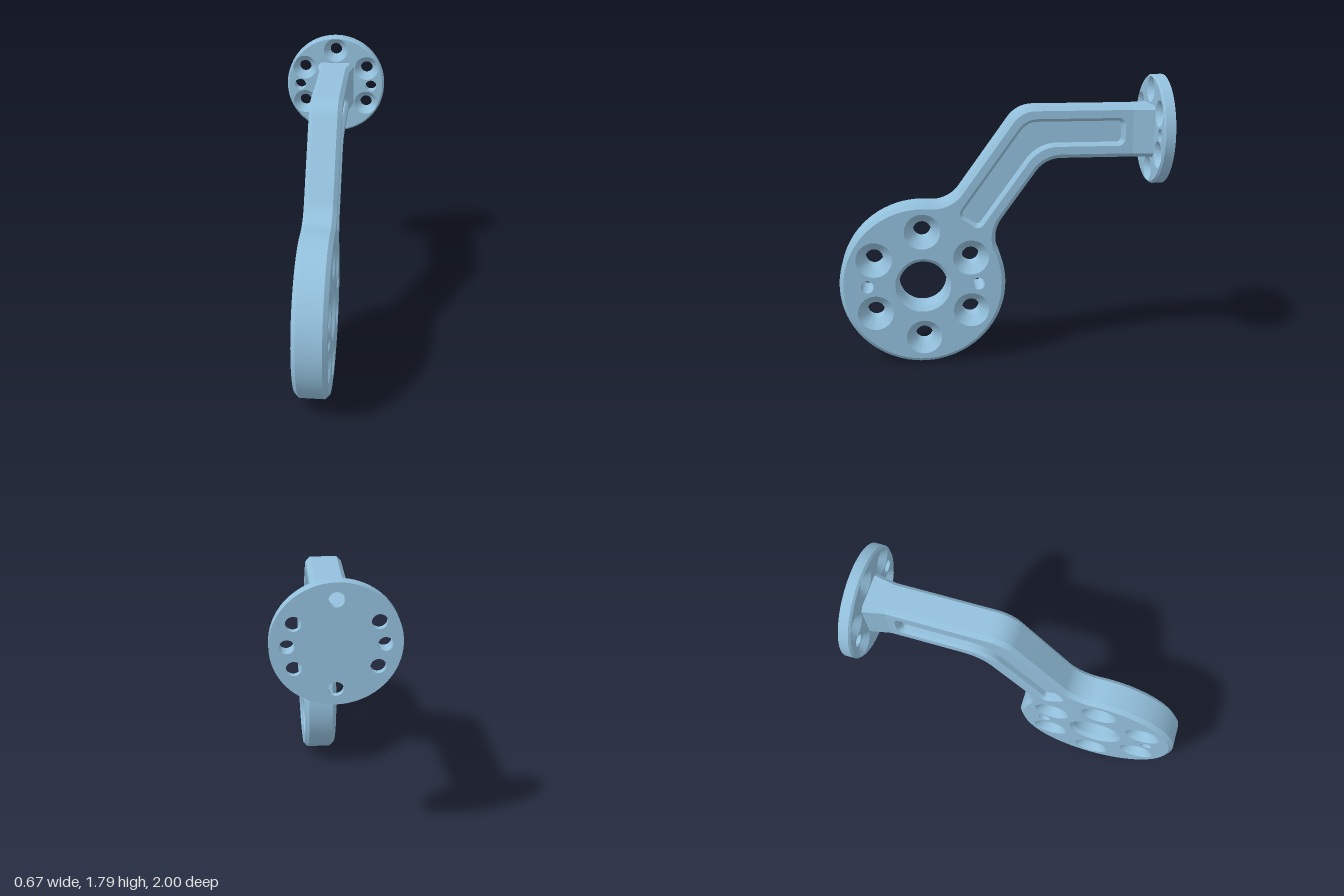
import * as THREE from 'three';
import { mergeGeometries, toCreasedNormals } from 'three/addons/utils/BufferGeometryUtils.js';

const material = new THREE.MeshStandardMaterial({ color: 0x93c0dc });
const V = (x, y) => new THREE.Vector2(x, y);

// Counter-clockwise circle
const circle = (cx, cy, r, n = 40) => Array.from({ length: n }, (_, i) => {
  const t = (i / n) * Math.PI * 2;
  return V(cx + r * Math.cos(t), cy + r * Math.sin(t));
});

// Points of a path without duplicates
function clean(path, divisions) {
  const pts = path.getPoints(divisions).filter((p, i, a) => i === 0 || p.distanceTo(a[i - 1]) > 1e-4);
  if (pts[0].distanceTo(pts[pts.length - 1]) < 1e-4) pts.pop();
  return pts;
}

// Moves a counter-clockwise loop inward by d
function inset(pts, d) {
  return pts.map((p, i) => {
    const a = pts[(i + pts.length - 1) % pts.length], b = pts[(i + 1) % pts.length];
    const e = p.clone().sub(a).normalize(), f = b.clone().sub(p).normalize();
    const n = V(-e.y - f.y, e.x + f.x);
    return p.clone().addScaledVector(n, d / (1 + e.dot(f)));
  });
}

// Skin through [loop, z] levels: rising z faces outward, falling z faces inward
function loft(levels) {
  const pos = [], index = [], n = levels[0][0].length;
  levels.forEach(([pts, z]) => pts.forEach(p => pos.push(p.x, p.y, z)));
  for (let k = 0; k < levels.length - 1; k++) for (let i = 0; i < n; i++) {
    const a = k * n + i, b = k * n + (i + 1) % n;
    index.push(a, b, b + n, a, b + n, a + n);
  }
  const g = new THREE.BufferGeometry();
  g.setAttribute('position', new THREE.Float32BufferAttribute(pos, 3));
  g.setIndex(index);
  return g;
}

// Flat face with holes at height z
function cap(pts, z, holes = [], back = false) {
  const s = new THREE.Shape(pts);
  s.holes = holes.map(h => new THREE.Path(h));
  const g = new THREE.ShapeGeometry(s).translate(0, 0, z);
  g.deleteAttribute('uv');
  g.deleteAttribute('normal');
  if (back) g.setIndex([...g.index.array].reverse());
  return g;
}

function part(name, geometries) {
  const g = toCreasedNormals(mergeGeometries(geometries), 0.5);
  const mesh = new THREE.Mesh(g, material);
  mesh.name = name;
  return mesh;
}

// Six bolt places and two pin places round a centre
const boltPlaces = (cx, cy, R) => [30, 90, 150, 210, 270, 330].map(d => {
  const t = THREE.MathUtils.degToRad(d);
  return [cx + R * Math.cos(t), cy + R * Math.sin(t)];
});
const pinPlaces = (cx, cy, R) => [[cx - R, cy], [cx + R, cy]];

// Arm layout, drawn in the side plane
const C = V(-0.485, 0.52), R = 0.515, ANG = THREE.MathUtils.degToRad(54.3);
const MID = 1.4625, HALF = 0.1575, Q = Math.PI / 2;
const dir = V(Math.cos(ANG), Math.sin(ANG)), nor = V(-dir.y, dir.x);
const bendX = C.x + (MID - C.y) / Math.tan(ANG), tanHalf = Math.tan(ANG / 2);
const along = (s, w) => C.clone().addScaledVector(dir, s).addScaledVector(nor, w);

// Rounded bend of the edge at signed distance w from the arm's centre line
function bend(path, w, r) {
  const cx = bendX - w * tanHalf + r * tanHalf, cy = MID + w - r;
  if (w > 0) path.absarc(cx, cy, r, Q, Q + ANG, false);
  else path.absarc(cx, cy, r, Q + ANG, Q, true);
}

function bracketOutline() {
  const f = 0.2, phi = Math.asin((HALF + f) / (R + f));
  const s = (R + f) * Math.cos(phi);
  const low = along(s, -HALF - f), high = along(s, HALF + f);
  const p = new THREE.Path();
  p.absarc(C.x, C.y, R, ANG + phi, ANG - phi + 2 * Math.PI, false);
  p.absarc(low.x, low.y, f, ANG - phi + Math.PI, ANG + Q, true);
  bend(p, -HALF, 0.19);
  p.lineTo(0.95, MID - HALF);
  p.lineTo(0.95, MID + HALF);
  bend(p, HALF, 0.19);
  p.absarc(high.x, high.y, f, ANG - Q, ANG + phi - Math.PI, true);
  return clean(p, 32);
}

function pocketOutline() {
  const h = 0.085, end = 0.76, r = 0.045, start = 0.485;
  const p = new THREE.Path();
  const a = along(start + r, -h + r), b = along(start + r, h - r);
  p.absarc(b.x, b.y, r, ANG + Q, ANG + 2 * Q, false);
  p.absarc(a.x, a.y, r, ANG + 2 * Q, ANG + 3 * Q, false);
  bend(p, -h, 0.22);
  p.absarc(end - r, MID - h + r, r, -Q, 0, false);
  p.absarc(end - r, MID + h - r, r, 0, Q, false);
  bend(p, h, 0.14);
  return clean(p, 8);
}

function bracket() {
  const T = 0.1, ch = 0.025, outer = bracketOutline(), face = inset(outer, ch);
  const pocket = pocketOutline(), floor = inset(pocket, 0.018), depth = 0.05;
  const geos = [loft([[face, -T], [outer, -T + ch], [outer, T - ch], [face, T]])];
  const holes = [pocket];
  // Through hole of radius r, widened to rim at both faces
  const hole = (x, y, r, rim, n) => {
    const inner = circle(x, y, r, n), edge = circle(x, y, rim, n), d = T - (rim - r);
    holes.push(edge);
    geos.push(loft(rim > r ? [[edge, T], [inner, d], [inner, -d], [edge, -T]] : [[edge, T], [edge, -T]]));
  };
  hole(C.x, C.y, 0.15, 0.173, 64);
  boltPlaces(C.x, C.y, 0.345).forEach(([x, y]) => hole(x, y, 0.055, 0.111, 40));
  pinPlaces(C.x, C.y, 0.345).forEach(([x, y]) => hole(x, y, 0.039, 0.039, 32));
  // Recessed pocket on each side
  geos.push(loft([[pocket, T], [floor, T - 0.018], [floor, T - depth]]), cap(floor, T - depth));
  geos.push(loft([[floor, depth - T], [floor, 0.018 - T], [pocket, -T]]), cap(floor, depth - T, [], true));
  geos.push(cap(face, T, holes), cap(face, -T, holes, true));
  const mesh = part('armWithHub', geos);
  mesh.rotation.y = Q;
  return mesh;
}

function mountingPlate() {
  const z0 = -1, z1 = -0.93, r = 0.335, ch = 0.012;
  const rim = circle(0, MID, r, 96), face = circle(0, MID, r - ch, 96);
  const geos = [loft([[rim, z0], [rim, z1 - ch], [face, z1]])];
  const front = [], back = [];
  boltPlaces(0, MID, 0.245).forEach(([x, y]) => {
    const wide = circle(x, y, 0.08), inner = circle(x, y, 0.04);
    front.push(wide);
    back.push(inner);
    geos.push(loft([[wide, z1], [inner, z1 - 0.04], [inner, z0]]));
  });
  pinPlaces(0, MID, 0.245).forEach(([x, y]) => {
    const pin = circle(x, y, 0.038);
    front.push(pin);
    back.push(pin);
    geos.push(loft([[pin, z1], [pin, z0]]));
  });
  geos.push(cap(face, z1, front), cap(rim, z0, back, true));
  return part('mountingPlate', geos);
}

// Widening foot where the arm meets the plate
function flare() {
  const section = w => {
    const c = 0.025, h = HALF;
    return [[w - c, -h], [w, c - h], [w, h - c], [w - c, h], [c - w, h], [-w, h - c], [-w, c - h], [c - w, -h]]
      .map(([x, y]) => V(x, MID + y));
  };
  return part('armFlare', [loft([[section(0.127), -0.94], [section(0.1), -0.805]])]);
}

export function createModel() {
  const group = new THREE.Group();
  group.name = 'angledBracket';
  group.add(bracket(), mountingPlate(), flare());
  return group;
}
